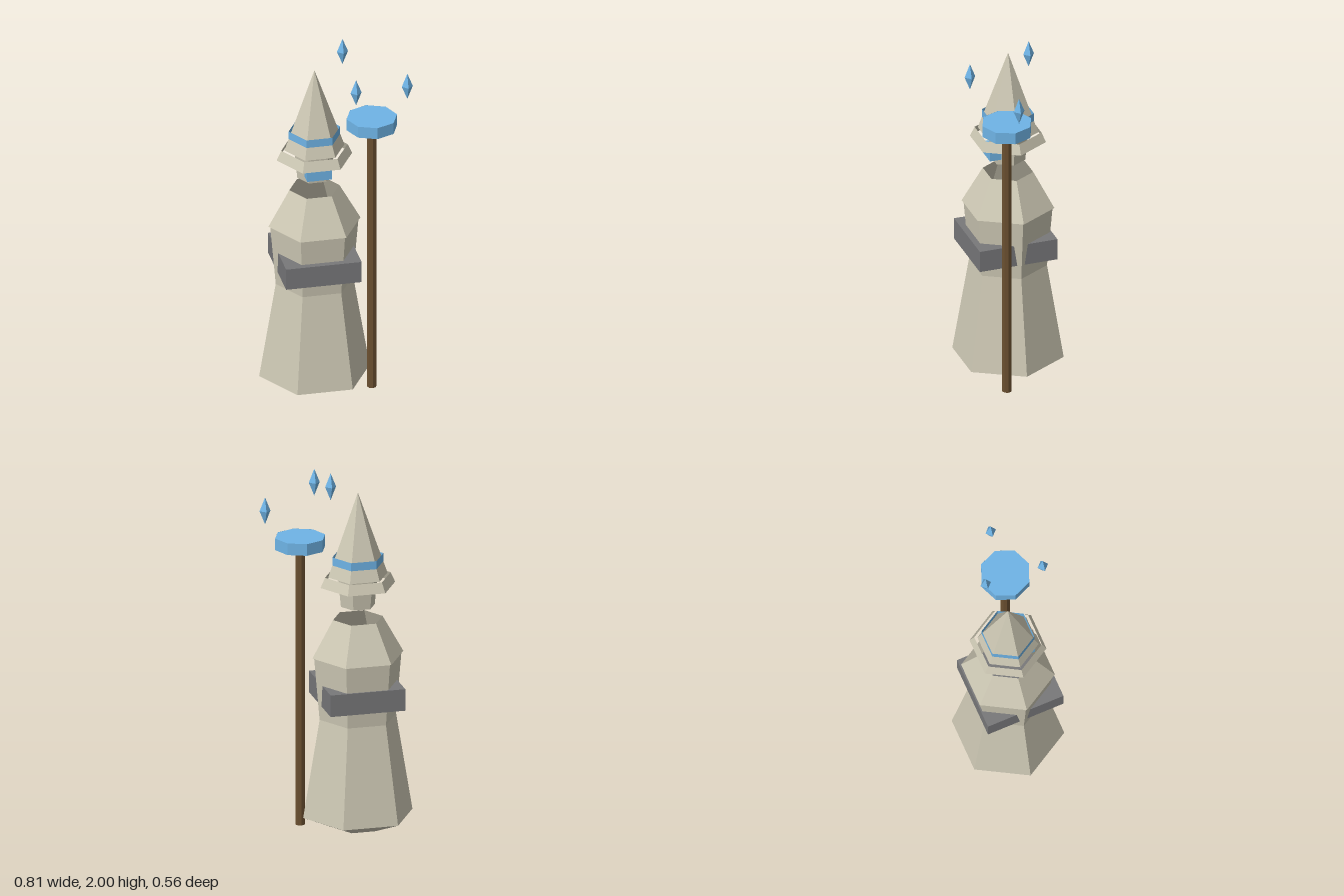
import * as THREE from 'three';

const mat = (color) =>
  new THREE.MeshStandardMaterial({ color, flatShading: true, side: THREE.DoubleSide });

export function createModel() {
  const model = new THREE.Group();
  const cloth = mat(0xcdc8b4);
  const blue = mat(0x6fb4e6);
  const wood = mat(0x6b5030);
  const iron = mat(0x78787a);

  // The figure stands off-centre, the staff at its left hand
  const figure = new THREE.Group();
  figure.name = 'figure';
  figure.position.set(-0.105, 0, -0.023);
  model.add(figure);

  const add = (parent, name, geometry, material, x = 0, y = 0, z = 0) => {
    const mesh = new THREE.Mesh(geometry, material);
    mesh.name = name;
    mesh.position.set(x, y, z);
    parent.add(mesh);
    return mesh;
  };

  // Open six-sided shell from [radius, height] pairs, corners on the x axis
  const hexShell = (name, profile, material) => {
    const points = profile.map(([r, y]) => new THREE.Vector2(r, y));
    return add(figure, name, new THREE.LatheGeometry(points, 6, Math.PI / 6), material);
  };

  // Clothing and head
  hexShell('robe', [[0.13, 0], [0.3, 0.07], [0.21, 0.61], [0.24, 0.955]], cloth);
  hexShell('shoulderCape', [[0.25, 0.955], [0.136, 1.16]], cloth);
  hexShell('head', [[0.093, 1.23], [0.112, 1.42]], cloth);

  // Pointed hat
  hexShell('hatBrim', [[0.205, 1.345], [0.18, 1.4]], cloth);
  hexShell('hatCone', [[0.163, 1.4], [0, 1.86]], cloth);
  hexShell('hatBand', [[0.14, 1.465], [0.14, 1.51]], blue);

  // Belt and face mask
  add(figure, 'belt', new THREE.BoxGeometry(0.41, 0.12, 0.436), iron, 0, 0.75, 0.013);
  add(figure, 'faceMask', new THREE.BoxGeometry(0.135, 0.055, 0.065), blue, 0, 1.292, 0.093);

  // Staff with a hollow, flat-topped head
  const staff = new THREE.Group();
  staff.name = 'staff';
  staff.position.set(0.182, 0, 0.086);
  model.add(staff);
  add(staff, 'staffPole', new THREE.CylinderGeometry(0.026, 0.026, 1.6, 8), wood, 0, 0.8, 0);
  const r = 0.137;
  add(staff, 'staffHeadRim', new THREE.CylinderGeometry(r, r, 0.065, 8, 1, true), blue, 0, 1.573, 0);
  add(staff, 'staffHeadTop', new THREE.CircleGeometry(r, 8).rotateX(-Math.PI / 2), blue, 0, 1.605, 0);

  // Floating crystals around the staff head
  const crystal = new THREE.OctahedronGeometry(0.03).scale(1, 2.5, 1);
  [[0.06, 1.925, -0.08], [0.06, 1.845, 0.25], [0.375, 1.765, 0.086]].forEach((p, i) =>
    add(model, `crystal${i + 1}`, crystal, blue, ...p));

  return model;
}
